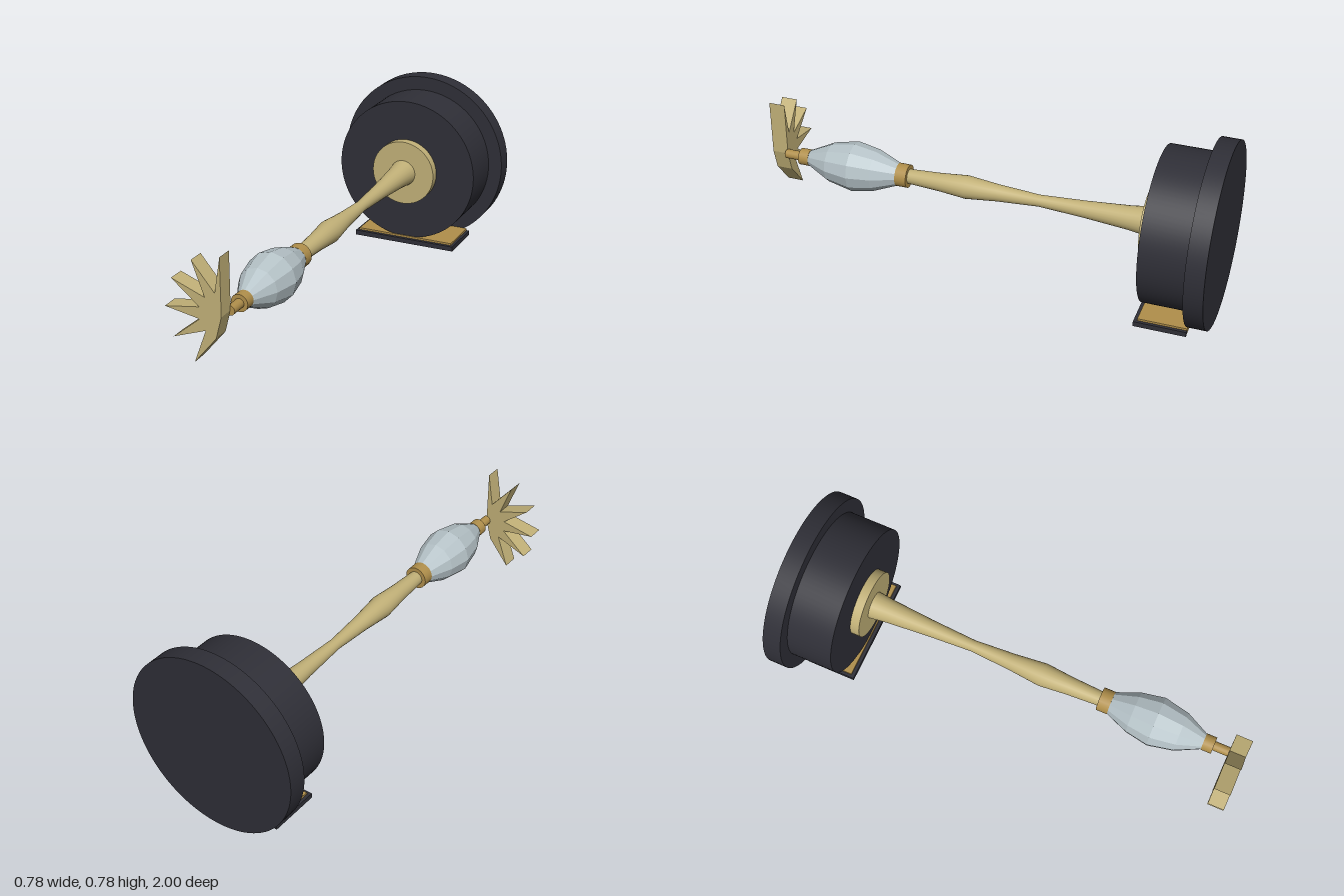
import * as THREE from 'three';

const AXIS_Y = 0.389;

function material(name, color) {
  const m = new THREE.MeshStandardMaterial({ color });
  m.name = name;
  return m;
}

export function createModel() {
  const group = new THREE.Group();
  const dark = material('charcoal', 0x2f2f37);
  const gold = material('paleGold', 0xc2b178);
  const brass = material('brass', 0xb08f4b);
  const crystal = material('crystal', 0xb6c3c8);

  const add = (name, geometry, mat, x, y, z) => {
    const mesh = new THREE.Mesh(geometry, mat);
    mesh.name = name;
    mesh.position.set(x, y, z);
    group.add(mesh);
    return mesh;
  };

  // Disc or rod along the main axis, from z0 to z1
  const rod = (name, r, z0, z1, mat, sides = 32) =>
    add(name, new THREE.CylinderGeometry(r, r, z1 - z0, sides).rotateX(Math.PI / 2),
      mat, 0, AXIS_Y, (z0 + z1) / 2);

  // Turned part along the main axis, from [radius, z] pairs
  const turned = (name, pairs, mat, sides, faceted) => {
    const points = pairs.map(([r, z]) => new THREE.Vector2(r, z));
    let geometry = new THREE.LatheGeometry(points, sides).rotateX(Math.PI / 2);
    if (faceted) {
      geometry = geometry.toNonIndexed();
      geometry.computeVertexNormals();
    }
    return add(name, geometry, mat, 0, AXIS_Y, 0);
  };

  // Round base and mounting disc
  rod('baseFlange', 0.389, -1, -0.92, dark, 96);
  rod('baseDrum', 0.327, -0.92, -0.72, dark, 96);
  rod('mountingDisc', 0.148, -0.72, -0.68, gold, 48);

  // Slender shaft with a swelling in the middle
  turned('shaft', [
    [0.06, -0.68], [0.05, -0.6], [0.036, -0.42], [0.025, -0.22],
    [0.036, -0.04], [0.05, 0.1], [0.039, 0.22], [0.031, 0.37],
  ], gold, 24, false);

  // Faceted crystal between two collars
  rod('rearCollar', 0.05, 0.36, 0.41, brass, 24);
  turned('crystal', [
    [0.05, 0.41], [0.09, 0.51], [0.108, 0.61], [0.085, 0.72], [0.035, 0.82],
  ], crystal, 12, true);
  rod('frontCollar', 0.036, 0.82, 0.865, brass, 24);
  rod('tipStem', 0.02, 0.865, 0.935, brass, 20);

  // Half sunburst: six spikes spaced 30 degrees apart
  const burst = new THREE.Shape();
  burst.moveTo(0, 0);
  for (let i = 0; i < 12; i++) {
    const angle = Math.PI / 2 + (i * Math.PI) / 12;
    const r = i % 2 ? 0.095 : 0.238;
    burst.lineTo(r * Math.cos(angle), r * Math.sin(angle));
  }
  burst.closePath();
  add('sunburst', new THREE.ExtrudeGeometry(burst, { depth: 0.07, bevelEnabled: false }),
    gold, 0, AXIS_Y, 0.93);

  // Foot plate with a dark rim on the front and sides
  add('footPlate', new THREE.BoxGeometry(0.46, 0.027, 0.205), brass, 0, 0.0535, -0.8175);
  add('footRimFront', new THREE.BoxGeometry(0.486, 0.022, 0.017), dark, 0, 0.047, -0.7085);
  for (const side of [-1, 1]) {
    add(side > 0 ? 'footRimLeft' : 'footRimRight',
      new THREE.BoxGeometry(0.013, 0.022, 0.203), dark, side * 0.2365, 0.047, -0.8185);
  }

  return group;
}
